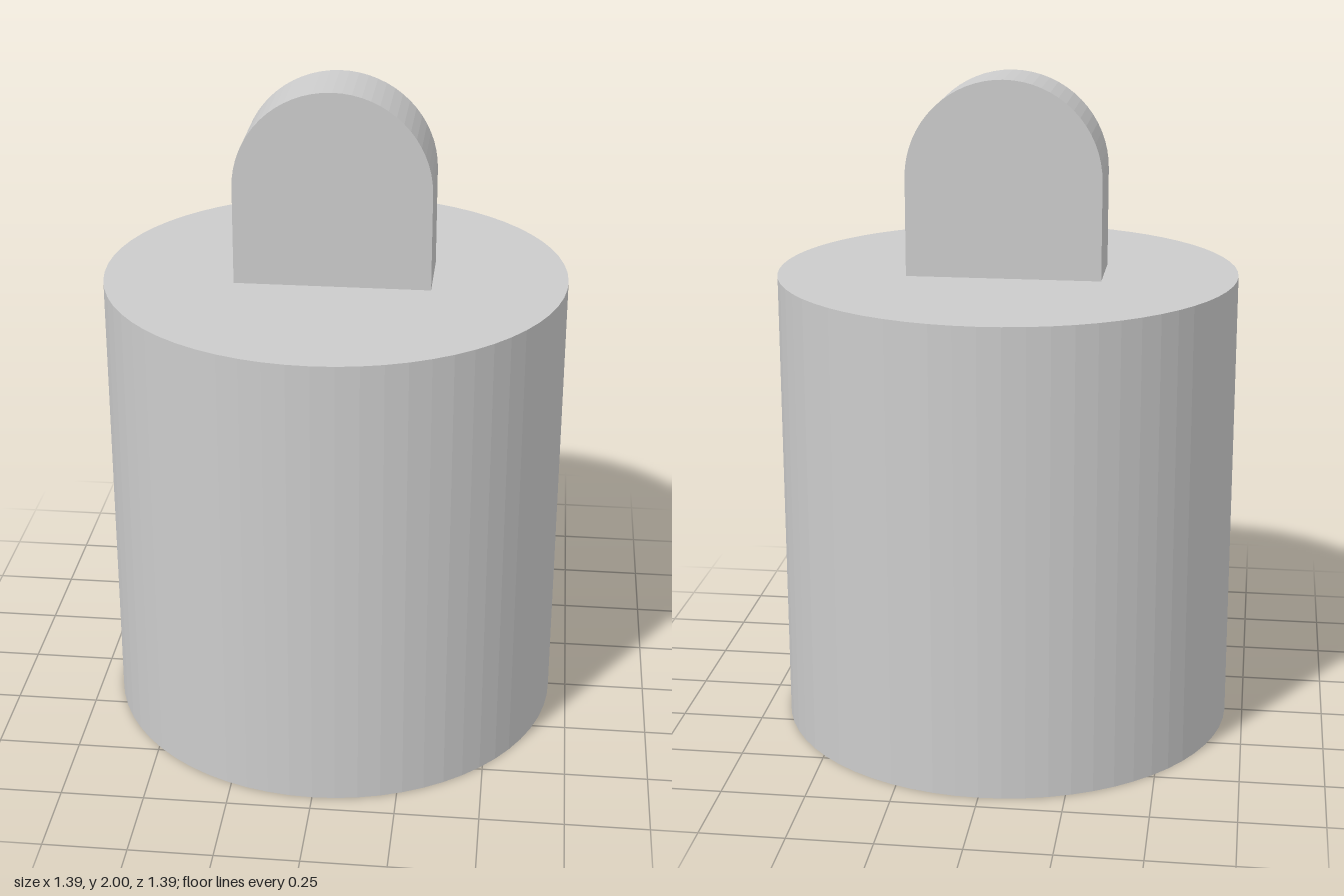
import * as THREE from 'three';

const BODY_RADIUS = 0.695, BODY_HEIGHT = 1.41;
const TAB_RADIUS = 0.293, TAB_DEPTH = 0.234, TOTAL_HEIGHT = 2;

export function createModel() {
  const model = new THREE.Group();
  model.name = 'cylinderWithTab';
  const material = new THREE.MeshStandardMaterial({ color: 0xcccccc, flatShading: true });

  // Main cylindrical body, standing on the ground
  const body = new THREE.Mesh(
    new THREE.CylinderGeometry(BODY_RADIUS, BODY_RADIUS, BODY_HEIGHT, 64),
    material
  );
  body.name = 'body';
  body.position.y = BODY_HEIGHT / 2;
  model.add(body);

  // Upright tab with a semicircular top
  const outline = new THREE.Shape();
  outline.moveTo(-TAB_RADIUS, BODY_HEIGHT);
  outline.lineTo(TAB_RADIUS, BODY_HEIGHT);
  outline.lineTo(TAB_RADIUS, TOTAL_HEIGHT - TAB_RADIUS);
  outline.absarc(0, TOTAL_HEIGHT - TAB_RADIUS, TAB_RADIUS, 0, Math.PI, false);
  outline.closePath();
  const tabGeometry = new THREE.ExtrudeGeometry(outline, {
    depth: TAB_DEPTH, bevelEnabled: false, curveSegments: 16,
  });
  tabGeometry.translate(0, 0, -TAB_DEPTH / 2);
  const tab = new THREE.Mesh(tabGeometry, material);
  tab.name = 'tab';
  model.add(tab);

  return model;
}
